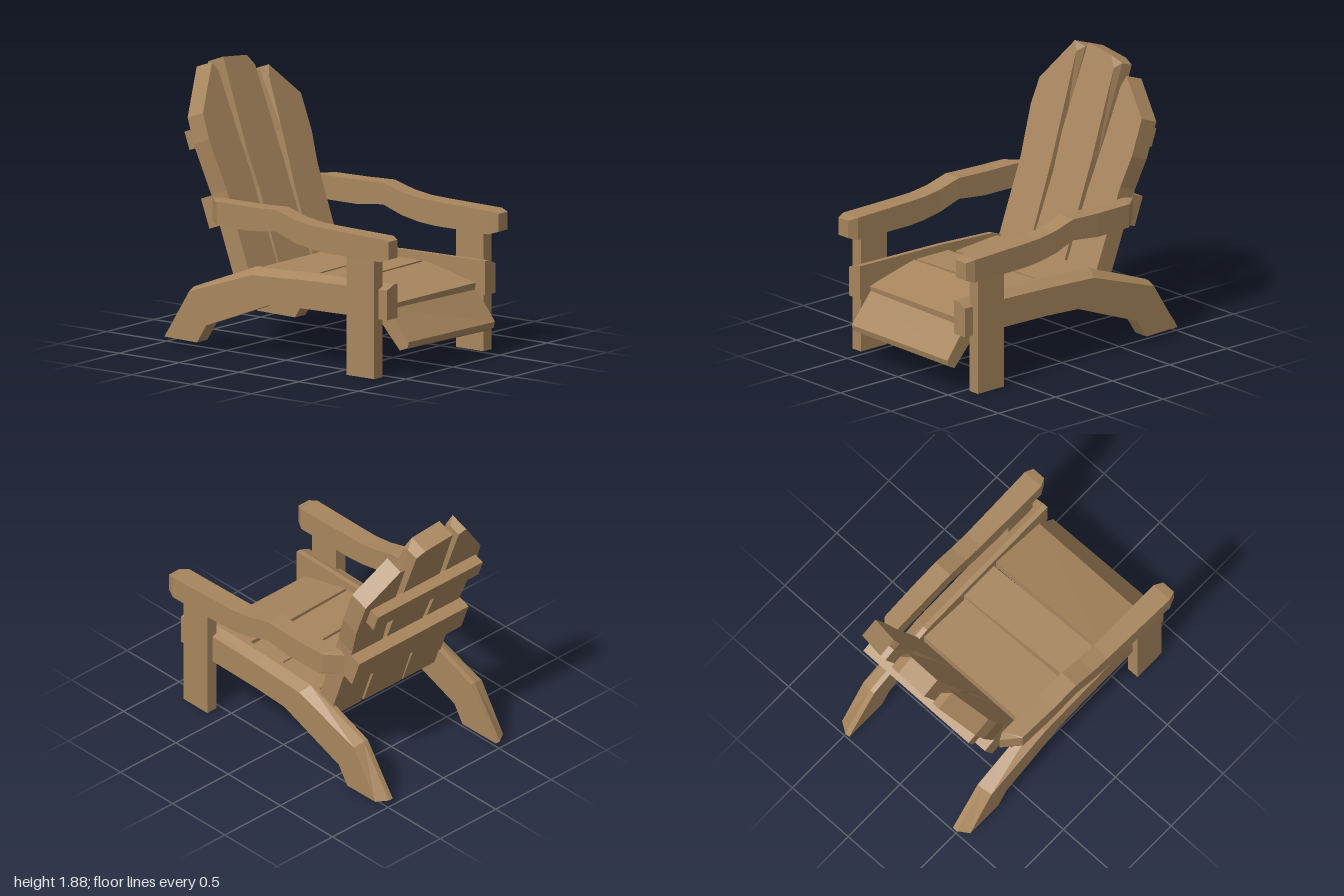
import * as THREE from 'three';

const wood = new THREE.MeshStandardMaterial({ color: 0xa8865e });
wood.name = 'warmWood';
wood.flatShading = true;

// Solid through a row of rings of [x, y, z] points, closed by centre-fan caps
function loft(name, rings) {
  const tris = [];
  const n = rings[0].length;
  const centre = r => [0, 1, 2].map(k => r.reduce((s, p) => s + p[k], 0) / n);
  const first = rings[0], last = rings[rings.length - 1];
  const c0 = centre(first), c1 = centre(last);
  for (let i = 0; i < n; i++) {
    const j = (i + 1) % n;
    for (let r = 0; r < rings.length - 1; r++) {
      const a = rings[r], b = rings[r + 1];
      tris.push([a[i], b[i], b[j]], [a[i], b[j], a[j]]);
    }
    tris.push([c0, first[i], first[j]], [c1, last[j], last[i]]);
  }
  // Turn the faces outward whatever the ring direction
  const V = p => new THREE.Vector3(...p).sub(new THREE.Vector3(...c0));
  const volume = tris.reduce((s, [a, b, c]) => s + V(a).dot(V(b).cross(V(c))), 0);
  const flat = tris.flatMap(([a, b, c]) => (volume < 0 ? [a, c, b] : [a, b, c])).flat();
  const geo = new THREE.BufferGeometry();
  geo.setAttribute('position', new THREE.Float32BufferAttribute(flat, 3));
  geo.computeVertexNormals();
  const mesh = new THREE.Mesh(geo, wood);
  mesh.name = name;
  return mesh;
}

function box(name, x0, x1, y0, y1, z0, z1) {
  const mesh = new THREE.Mesh(new THREE.BoxGeometry(x1 - x0, y1 - y0, z1 - z0), wood);
  mesh.position.set((x0 + x1) / 2, (y0 + y1) / 2, (z0 + z1) / 2);
  mesh.name = name;
  return mesh;
}

// Armrest sections: z inner, z outer, y bottom, y top, x inner, x outer
const ARM = [
  [0.96, 0.96, 0.815, 0.935, 0.535, 0.63],
  [0.9, 0.9, 0.795, 0.95, 0.505, 0.652],
  [0.45, 0.45, 0.795, 0.96, 0.505, 0.64],
  [0.32, 0.32, 0.805, 0.965, 0.505, 0.637],
  [0.18, 0.18, 0.83, 0.985, 0.505, 0.635],
  [0.02, 0.02, 0.885, 1.03, 0.5, 0.632],
  [-0.2, -0.2, 0.86, 1.022, 0.5, 0.63],
  [-0.55, -0.48, 0.86, 1.02, 0.495, 0.62],
  [-0.6, -0.49, 0.875, 1.015, 0.52, 0.615],
];

// Side rail sections: top z, top y, bottom z, bottom y, outer top edge offset z, y
const RAIL = [
  [0.91, 0.625, 0.91, 0.395, 0, -0.03],
  [0.2, 0.615, 0.2, 0.385, 0, -0.04],
  [-0.25, 0.595, -0.08, 0.37, 0.03, -0.04],
  [-0.76, 0.4, -0.6, 0.17, 0.015, -0.02],
  [-1.0, 0.05, -0.68, 0.045, 0.05, 0],
];

// Back slat outlines (x, height), with one chipped front corner: index, x, height
const SLATS = [
  ['rightBackSlat', [[-0.49, 0.45], [-0.485, 1.07], [-0.52, 1.4], [-0.505, 1.57], [-0.275, 1.86],
    [-0.215, 1.84], [-0.212, 1.4], [-0.195, 1.1], [-0.187, 0.45]], [5, -0.235, 1.8]],
  ['middleBackSlat', [[-0.178, 0.45], [-0.155, 1.05], [-0.172, 1.3], [-0.15, 1.875], [0.09, 1.85],
    [0.16, 1.82], [0.165, 1.2], [0.165, 0.45]], [5, 0.145, 1.78]],
  ['leftBackSlat', [[0.185, 0.45], [0.2, 1.0], [0.23, 1.35], [0.238, 1.75], [0.28, 1.76],
    [0.52, 1.54], [0.522, 1.3], [0.49, 1.1], [0.475, 0.45]], [3, 0.25, 1.69]],
];

// Seat boards: right end then left end, each [x rear, x front, z rear, z front], then top y rear, front
const BOARDS = [
  ['rearSeatBoard', [-0.48, -0.43, -0.29, 0.11], [0.445, 0.43, -0.29, 0.09], 0.57, 0.565],
  ['middleSeatBoard', [-0.49, -0.47, 0.14, 0.42], [0.45, 0.45, 0.1, 0.385], 0.565, 0.565],
  ['frontSeatBoard', [-0.495, -0.465, 0.44, 0.83], [0.46, 0.475, 0.415, 0.83], 0.565, 0.47],
];

export function createModel() {
  const chair = new THREE.Group();
  chair.name = 'gardenChair';

  // Legs, rails and armrests on both sides
  for (const s of [1, -1]) {
    const side = s > 0 ? 'left' : 'right';
    const x = v => s * v - 0.008;
    chair.add(box(side + 'FrontLeg', Math.min(x(0.537), x(0.622)), Math.max(x(0.537), x(0.622)),
      0, 0.81, 0.61, 0.84));
    chair.add(loft(side + 'SideRail', RAIL.map(([tz, ty, bz, by, dz, dy]) => [
      [x(0.465), ty, tz], [x(0.5), ty, tz], [x(0.575), ty + dy, tz + dz],
      [x(0.575), by, bz], [x(0.465), by, bz]])));
    chair.add(loft(side + 'Armrest', ARM.map(([zi, zo, yb, yt, xi, xo]) => [
      [s * xi, yt, zi], [s * xo, yt, zo], [s * xo, yb, zo], [s * xi, yb, zi]])));
  }

  // Seat boards
  for (const [name, a, b, yr, yf] of BOARDS) {
    const end = ([xr, xf, zr, zf]) => [
      [xr, yr, zr], [xf, yf, zf], [xf, yf - 0.045, zf - 0.005], [xf, yf - 0.1, zf - 0.03], [xr, yr - 0.1, zr]];
    chair.add(loft(name, [end(a), end(b)]));
  }

  // Slanted board at the front of the seat
  const apron = (x, d) => [
    [x, 0.44 - d, 0.83], [x, 0.24 - d, 0.995 - d], [x, 0.2 - d, 0.985 - d],
    [x, 0.175 - d, 0.92], [x, 0.37 - d, 0.74]];
  chair.add(loft('frontApron', [apron(-0.46, 0), apron(0.472, 0.015)]));

  // Reclined back: slats and two battens behind them
  const back = new THREE.Group();
  back.name = 'backrest';
  back.position.set(0, 0.56, -0.32);
  back.rotation.x = -0.351;
  const up = y => (y - 0.56) / 0.939;
  for (const [name, outline, [ci, cx, cy]] of SLATS) {
    const ring = (z, chip) => outline.map(([x, y], i) =>
      chip && i === ci ? [cx, up(cy), z] : [x, up(y), z]);
    back.add(loft(name, [ring(0, true), ring(-0.05), ring(-0.137)]));
  }
  back.add(box('upperBatten', -0.485, 0.46, 0.867, 0.993, -0.213, -0.13));
  back.add(box('lowerBatten', -0.495, 0.49, 0.335, 0.54, -0.223, -0.13));
  chair.add(back);

  return chair;
}
